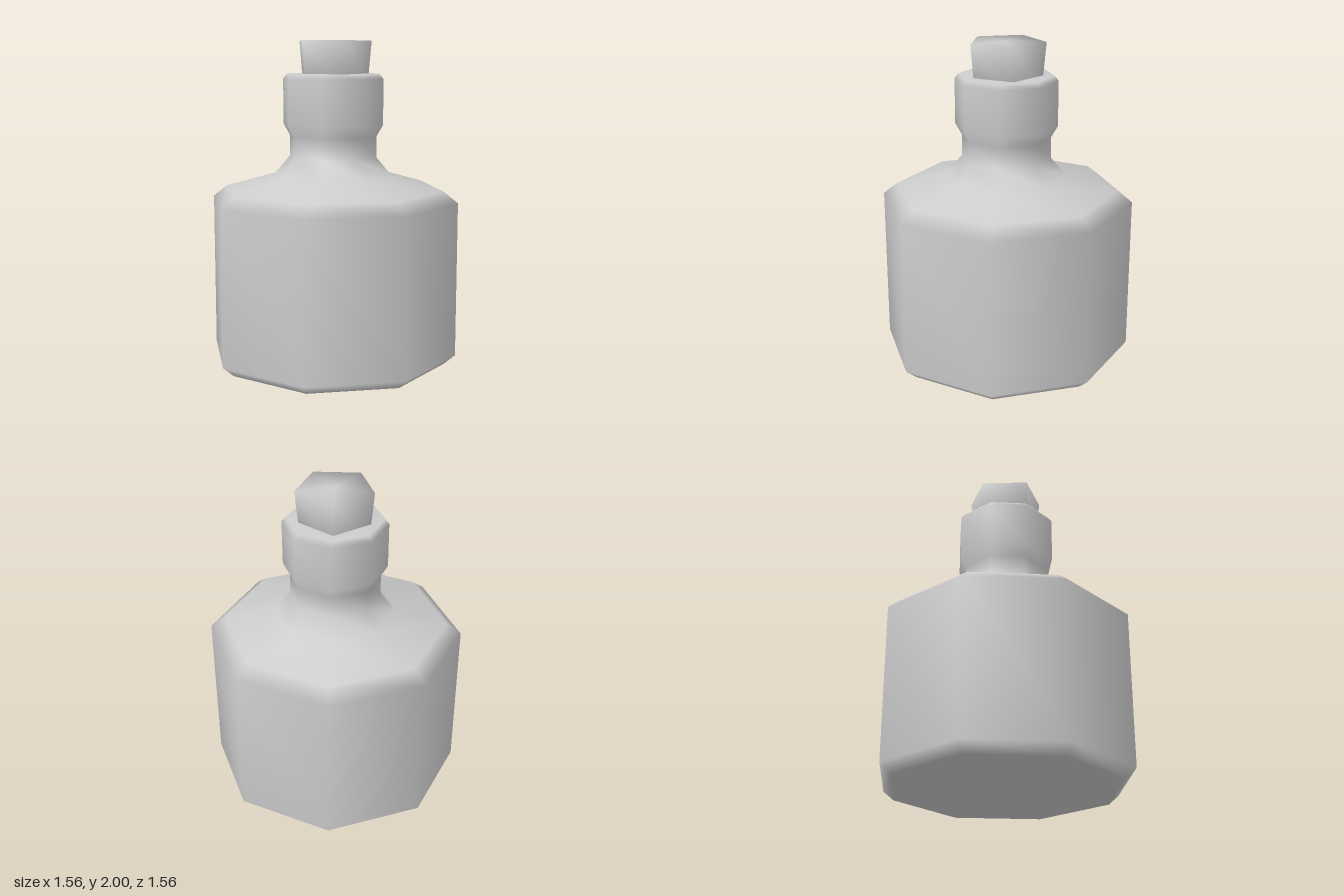
import * as THREE from 'three';
import { mergeVertices } from 'three/addons/utils/BufferGeometryUtils.js';

// Turns a profile of [radius, height] pairs into a smooth-shaded low-poly solid
function turned(profile, sides, phiStart = 0) {
  const points = profile.map(([r, y]) => new THREE.Vector2(r, y));
  const lathe = new THREE.LatheGeometry(points, sides, phiStart);
  lathe.deleteAttribute('normal');
  lathe.deleteAttribute('uv');
  const geometry = mergeVertices(lathe, 1e-4);
  geometry.computeVertexNormals();
  return geometry;
}

export function createModel() {
  const group = new THREE.Group();
  group.name = 'bottle';
  const grey = new THREE.MeshStandardMaterial({ color: 0xcccccc });
  grey.name = 'grey';

  const add = (name, geometry) => {
    const mesh = new THREE.Mesh(geometry, grey);
    mesh.name = name;
    group.add(mesh);
  };

  // Eight-sided flask: bevelled base, straight wall, sloped shoulder, neck and thick lip
  add('flask', turned([
    [0, 0], [0.71, 0], [0.78, 0.06], [0.78, 1.02], [0.69, 1.09],
    [0.37, 1.18], [0.275, 1.29], [0.275, 1.42], [0.315, 1.49],
    [0.315, 1.77], [0.29, 1.8], [0, 1.8],
  ], 8));

  // Five-sided stopper, wider at the top, with one corner to the back
  add('stopper', turned([[0, 1.7], [0.213, 1.7], [0.24, 2], [0, 2]], 5, Math.PI));

  return group;
}
